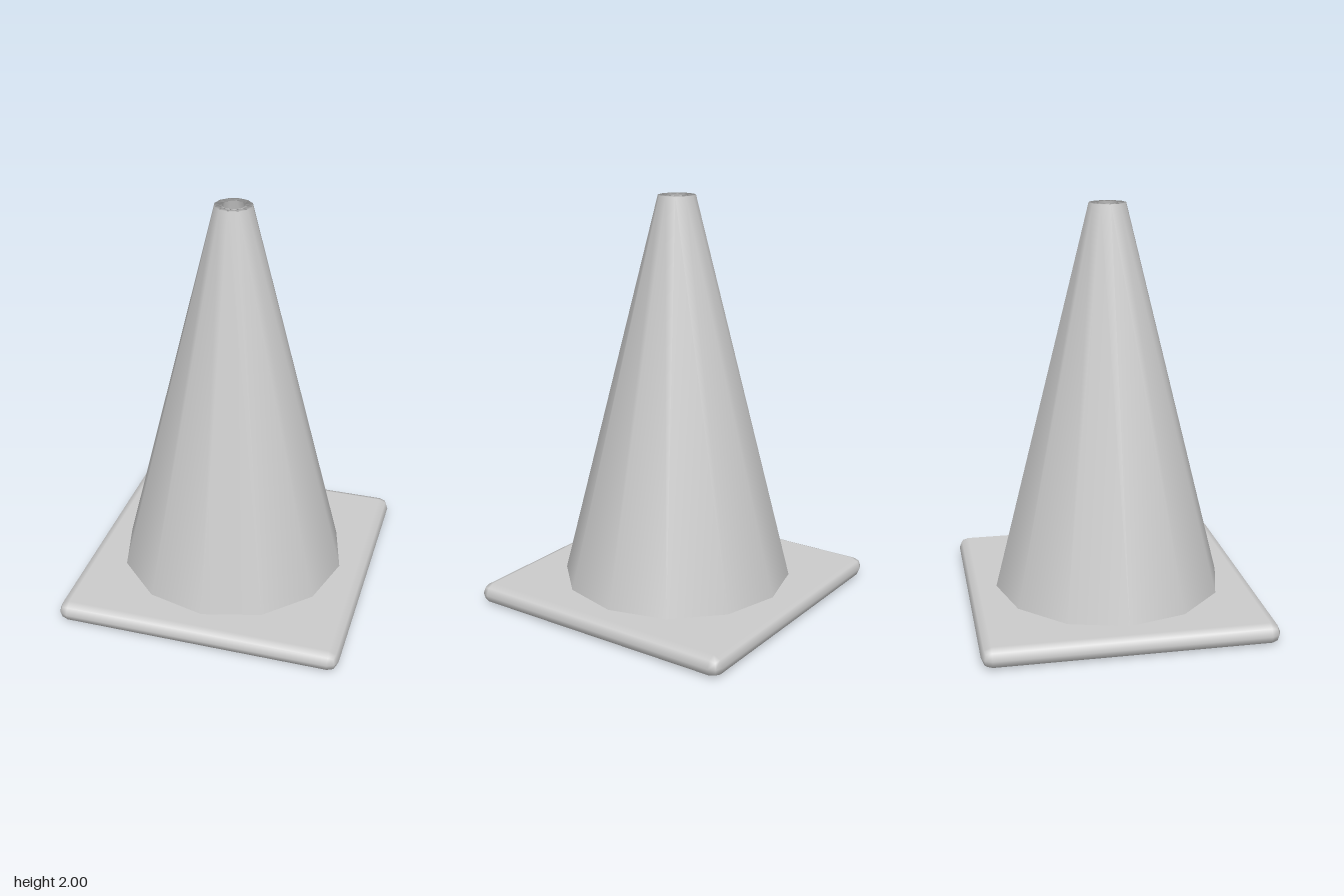
import * as THREE from 'three';
import { RoundedBoxGeometry } from 'three/addons/geometries/RoundedBoxGeometry.js';

const SIDES = 12;
const BASE_WIDTH = 1.41;
const BASE_HEIGHT = 0.1;

export function createModel() {
  const group = new THREE.Group();
  group.name = 'trafficCone';
  const material = new THREE.MeshStandardMaterial({ color: 0xcccccc });

  // Square foot plate with rounded edges
  const base = new THREE.Mesh(
    new RoundedBoxGeometry(BASE_WIDTH, BASE_HEIGHT, BASE_WIDTH, 1, BASE_HEIGHT / 2),
    material
  );
  base.name = 'base';
  base.position.y = BASE_HEIGHT / 2;
  group.add(base);

  // Hollow cone: up the outside, over the rim and down the inside
  const profile = [
    [0.567, BASE_HEIGHT],
    [0.09, 2],
    [0.055, 2],
    [0.53, BASE_HEIGHT],
  ].map(([r, y]) => new THREE.Vector2(r, y));
  const cone = new THREE.Mesh(new THREE.LatheGeometry(profile, SIDES), material);
  cone.name = 'cone';
  group.add(cone);

  return group;
}
